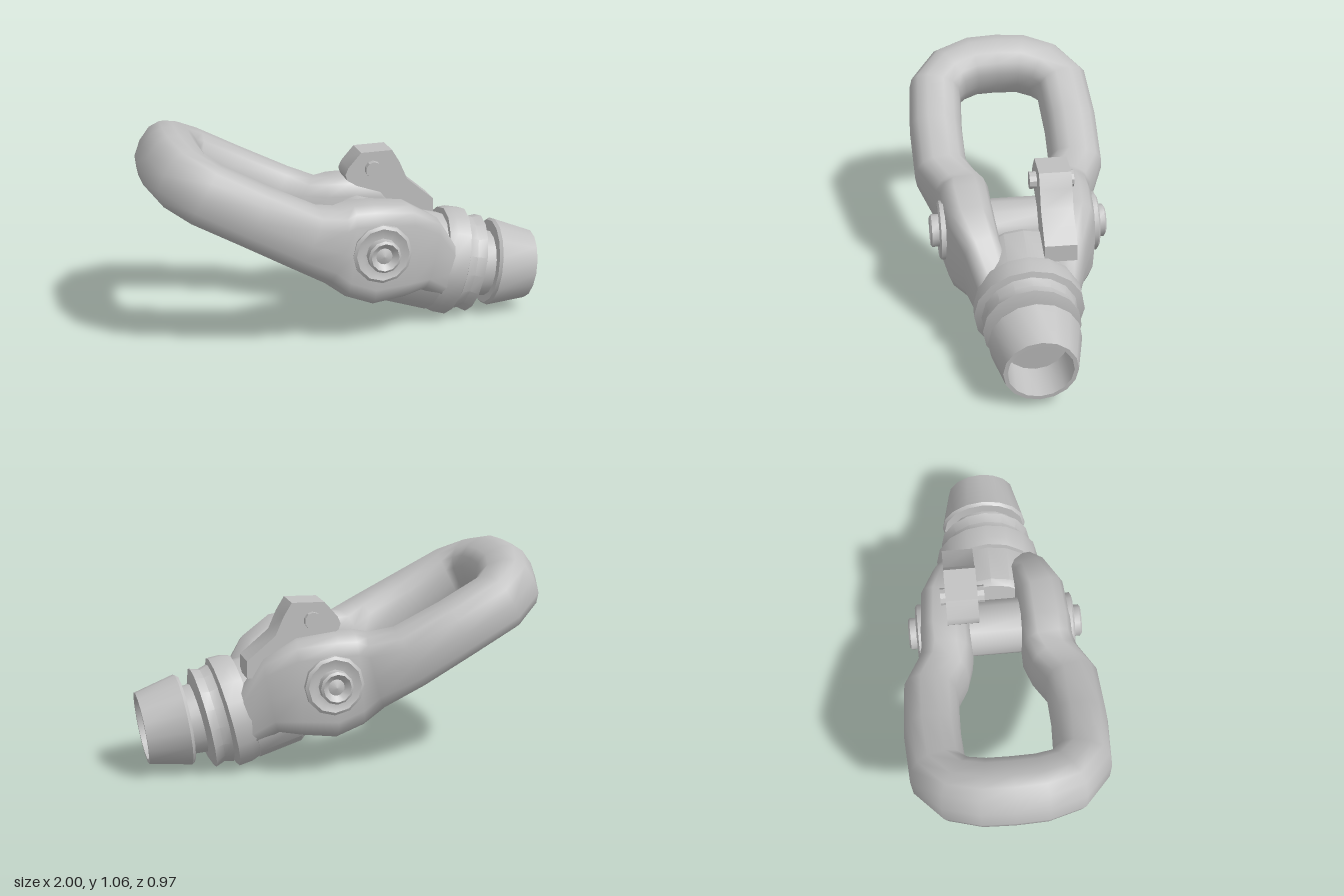
import * as THREE from 'three';
import { toCreasedNormals } from 'three/addons/utils/BufferGeometryUtils.js';

const steel = new THREE.MeshStandardMaterial({ color: 0xc0c0c0 });
steel.name = 'light grey steel';

function add(group, name, geometry) {
  const mesh = new THREE.Mesh(geometry, steel);
  mesh.name = name;
  group.add(mesh);
  return mesh;
}

// Rounded-box cross-sections swept along stations {c, up, hw, hh, power}; lower power is boxier
function loft(stations, sides = 14) {
  const pos = [], idx = [];
  const bulge = (v, power) => Math.sign(v) * Math.abs(v) ** power;
  stations.forEach((s, k) => {
    const before = stations[Math.max(k - 1, 0)].c;
    const after = stations[Math.min(k + 1, stations.length - 1)].c;
    const side = s.up.clone().cross(after.clone().sub(before)).normalize();
    for (let i = 0; i < sides; i++) {
      const t = (i / sides) * Math.PI * 2;
      const p = s.c.clone()
        .addScaledVector(side, s.hw * bulge(Math.cos(t), s.power))
        .addScaledVector(s.up, s.hh * bulge(Math.sin(t), s.power));
      pos.push(p.x, p.y, p.z);
      if (k < stations.length - 1) {
        const a = k * sides + i, b = k * sides + (i + 1) % sides;
        idx.push(a, b, a + sides, b, b + sides, a + sides);
      }
    }
  });
  const g = new THREE.BufferGeometry();
  g.setAttribute('position', new THREE.Float32BufferAttribute(pos, 3));
  g.setIndex(idx);
  g.computeVertexNormals();
  return g;
}

// Turned profile of [radius, height] pairs
function turned(profile, sides = 16) {
  const pts = profile.map(([r, h]) => new THREE.Vector2(r, h));
  return toCreasedNormals(new THREE.LatheGeometry(pts, sides), 0.6);
}

export function createModel() {
  const model = new THREE.Group();
  model.name = 'swivel shackle';

  // U-shaped link with both eyes: x, y, z, half width, half height, lean, section power
  const half = [
    [0.48, 0.30, 0.15, 0.10, 0.15, 0.2, 0.7],
    [0.37, 0.41, 0.20, 0.10, 0.19, 0.2, 0.6],
    [0.25, 0.45, 0.24, 0.122, 0.235, 0.05, 0.55],
    [0.08, 0.45, 0.25, 0.128, 0.255, 0, 0.55],
    [-0.04, 0.475, 0.25, 0.13, 0.23, 0.1, 0.6],
    [-0.13, 0.51, 0.275, 0.13, 0.185, 0.25, 0.7],
    [-0.27, 0.585, 0.345, 0.135, 0.158, 0.49, 0.78],
    [-0.50, 0.705, 0.35, 0.135, 0.15, 0.49, 0.78],
    [-0.72, 0.82, 0.335, 0.137, 0.15, 0.49, 0.8],
    [-0.81, 0.87, 0.25, 0.14, 0.152, 0.49, 0.8],
    [-0.845, 0.9, 0.13, 0.14, 0.155, 0.49, 0.8],
  ];
  const station = ([x, y, z, hw, hh, lean, power], sign) => ({
    c: new THREE.Vector3(x, y, z * sign), hw, hh, power,
    up: new THREE.Vector3(Math.sin(lean), Math.cos(lean), 0),
  });
  const path = [
    ...half.map(s => station(s, 1)),
    station([-0.85, 0.905, 0, 0.14, 0.155, 0.49, 0.8], 1),
    ...half.slice().reverse().map(s => station(s, -1)),
  ];
  add(model, 'link', loft(path));

  // Barrel pieces, each turned about its own slightly tilted axis
  const barrel = (name, x, y, angle, profile, flat = 1) => {
    const m = add(model, name, turned(profile));
    m.position.set(x, y, 0);
    m.rotation.z = THREE.MathUtils.degToRad(angle) - Math.PI / 2;
    m.scale.z = flat;
  };
  barrel('body', 0.235, 0.35, -16,
    [[0, 0], [0.225, 0], [0.245, 0.03], [0.25, 0.25], [0, 0.25]]);
  barrel('largeCollar', 0.47, 0.30, -13.5,
    [[0, 0], [0.262, 0], [0.275, 0.04], [0.278, 0.108], [0.235, 0.125], [0.235, 0.15], [0, 0.15]], 0.95);
  barrel('smallCollar', 0.59, 0.272, -12,
    [[0, 0], [0.25, 0], [0.238, 0.045], [0.253, 0.09], [0.2, 0.11], [0, 0.11]], 0.92);
  barrel('neck', 0.66, 0.262, -9,
    [[0, 0], [0.175, 0], [0.165, 0.15], [0, 0.15]]);
  barrel('hollowEnd', 0.76, 0.255, -8,
    [[0, 0], [0.215, 0], [0.226, 0.015], [0.178, 0.218], [0.158, 0.218], [0.15, 0.03], [0, 0.02]], 0.97);

  // Cross pin between the eyes
  const pin = add(model, 'crossPin', turned([[0, -0.2], [0.14, -0.2], [0.14, 0.2], [0, 0.2]], 12));
  pin.position.set(0.11, 0.475, 0);
  pin.rotation.x = Math.PI / 2;

  // Recessed washer and dimpled pin head on each side
  for (const sign of [1, -1]) {
    const head = add(model, sign > 0 ? 'leftPinHead' : 'rightPinHead', turned([
      [0.145, 0.33], [0.145, 0.384], [0.13, 0.393], [0.1, 0.382], [0.08, 0.382],
      [0.08, 0.425], [0.068, 0.433], [0.04, 0.41], [0, 0.425],
    ], 12));
    head.position.set(0.11, 0.475, 0);
    head.rotation.x = sign * Math.PI / 2;
  }

  // Latch on the right-hand side of the top
  const outline = [[0.04, 0.74], [0.055, 0.775], [0.12, 0.85], [0.28, 0.855], [0.32, 0.79],
    [0.36, 0.7], [0.5, 0.585], [0.5, 0.5], [0.34, 0.5], [0.22, 0.64], [0.1, 0.68], [0.05, 0.71]];
  const shape = new THREE.Shape(outline.map(([x, y]) => new THREE.Vector2(x, y)));
  const latchGeometry = new THREE.ExtrudeGeometry(shape, { depth: 0.155, bevelEnabled: false });
  const latch = add(model, 'latch', toCreasedNormals(latchGeometry, 0.8));
  latch.position.z = -0.235;

  // Latch bolt
  const bolt = add(model, 'latchBolt', turned([[0, -0.107], [0.042, -0.107], [0.042, 0.107], [0, 0.107]], 10));
  bolt.position.set(0.18, 0.765, -0.153);
  bolt.rotation.x = Math.PI / 2;

  return model;
}
